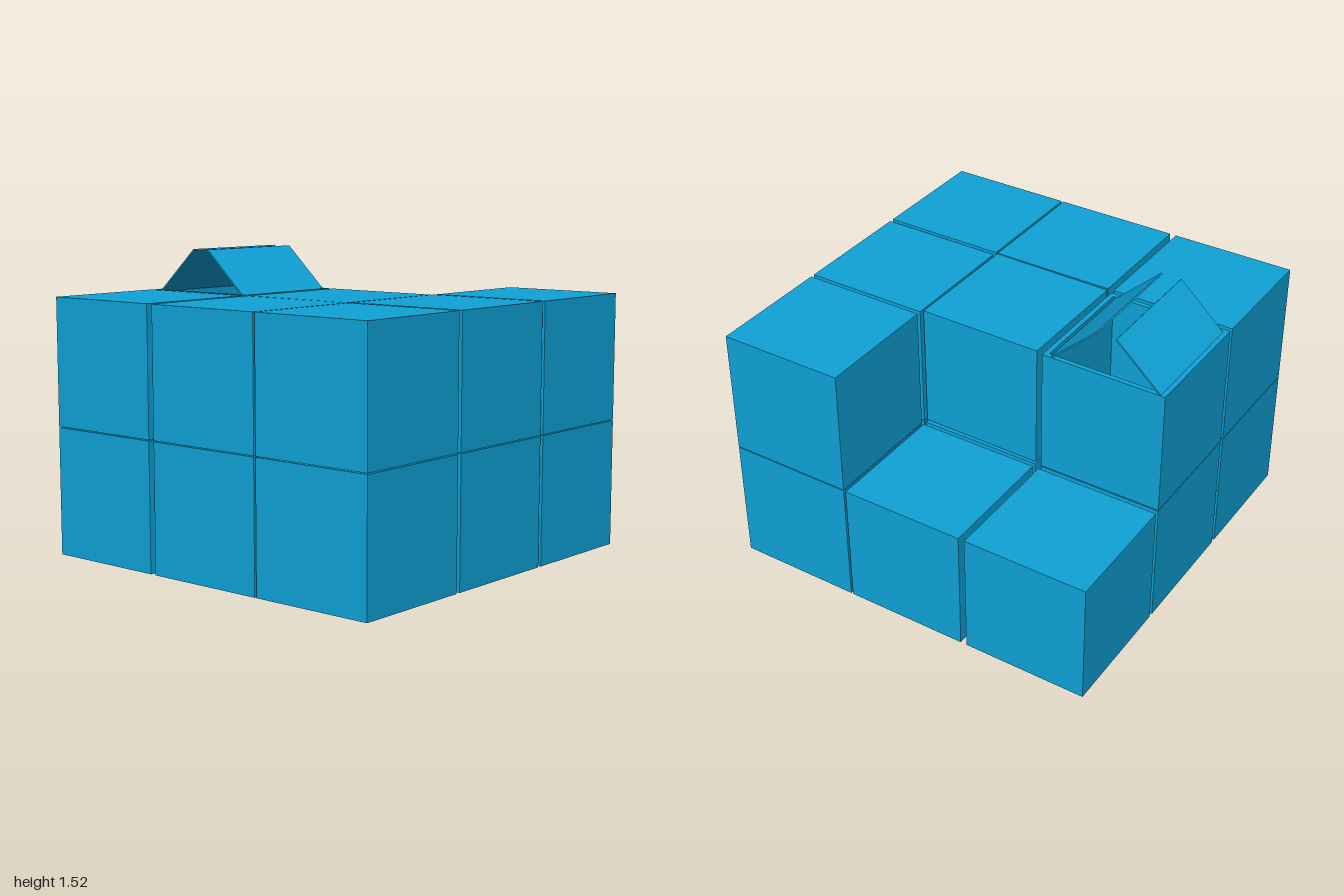
import * as THREE from 'three';

export function createModel() {
  const model = new THREE.Group();
  const material = new THREE.MeshStandardMaterial({ color: 0x0fa3d8 });
  const S = 0.65; // edge length of a box
  const X = [-0.675, 0.008, 0.669]; // columns
  const Z = [-0.675, -0.003, 0.67]; // rows, back to front
  const Y = [S / 2, 0.655 + S / 2]; // layers

  const add = (name, geometry, x, y, z, parent = model) => {
    const mesh = new THREE.Mesh(geometry, material);
    mesh.name = name;
    mesh.position.set(x, y, z);
    parent.add(mesh);
    return mesh;
  };

  // Closed boxes: full lower layer, upper layer missing two at the back
  const cube = new THREE.BoxGeometry(S, S, S);
  Y.forEach((y, layer) => X.forEach((x, col) => Z.forEach((z, row) => {
    const missing = layer === 1 && row === 0 && col < 2;
    const open = layer === 1 && row === 1 && col === 0;
    if (missing || open) return;
    const centre = layer === 1 && row === 1 && col === 1;
    const box = add(layer ? 'upperBox' : 'lowerBox', cube, x, y, centre ? z + 0.014 : z);
    if (centre) box.rotation.y = -0.008; // set down slightly askew
  })));

  // Open box: four thin walls and a floor
  const openBox = new THREE.Group();
  openBox.name = 'openBox';
  openBox.position.set(X[0], 0.655, Z[1]);
  model.add(openBox);
  const square = (half) => [[-half, -half], [half, -half], [half, half], [-half, half]]
    .map(([x, y]) => new THREE.Vector2(x, y));
  const wall = 0.025;
  const outline = new THREE.Shape(square(S / 2));
  outline.holes.push(new THREE.Path(square(S / 2 - wall).reverse()));
  const walls = new THREE.ExtrudeGeometry(outline, { depth: S, bevelEnabled: false });
  walls.rotateX(-Math.PI / 2);
  add('walls', walls, 0, 0, 0, openBox);
  const inner = S - 2 * wall;
  add('floor', new THREE.BoxGeometry(inner, wall, inner), 0, wall / 2, 0, openBox);

  // Two raised lid flaps leaning towards each other
  const flaps = [
    ['rightFlap', [-0.985, 1.29], [-0.735, 1.52]],
    ['leftFlap', [-0.385, 1.29], [-0.635, 1.52]],
  ];
  for (const [name, [x0, y0], [x1, y1]] of flaps) {
    const length = Math.hypot(x1 - x0, y1 - y0);
    const flap = add(name, new THREE.BoxGeometry(length, 0.008, 0.62),
      (x0 + x1) / 2, (y0 + y1) / 2, -0.013);
    flap.rotation.z = Math.atan2(y1 - y0, x1 - x0);
  }

  return model;
}
